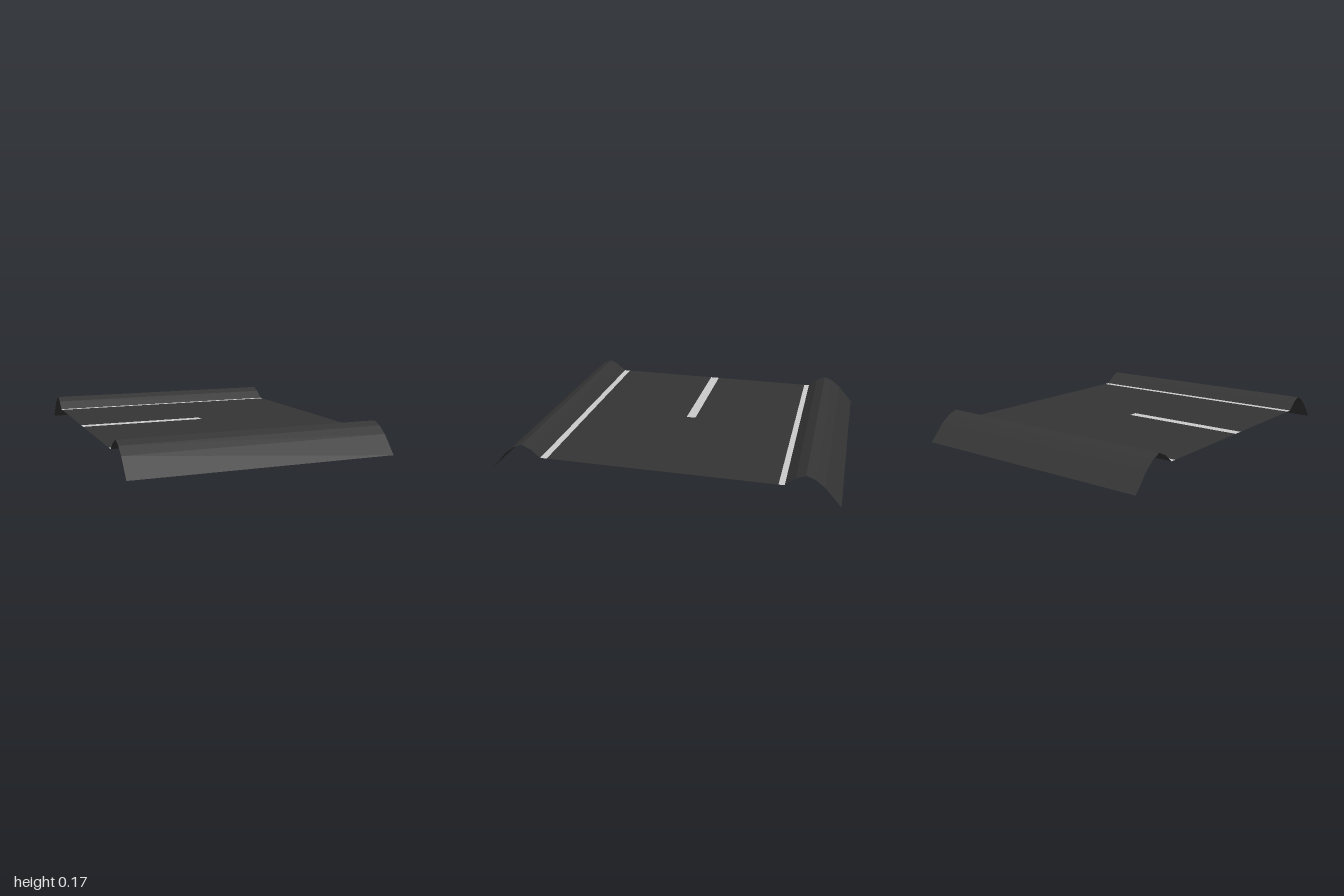
import * as THREE from 'three';

const HALF = 0.77;   // half width along x
const DECK = 0.095;  // height of the flat road

const makeMaterial = (color) =>
  new THREE.MeshStandardMaterial({ color, side: THREE.DoubleSide, flatShading: true });

// Thin sheet: a [z, y] profile, ordered by rising z, swept from x0 to x1.
function sheet(name, profile, material, x0 = -HALF, x1 = HALF) {
  const positions = [];
  const index = [];
  profile.forEach(([z, y], i) => {
    positions.push(x0, y, z, x1, y, z);
    if (i > 0) {
      const a = 2 * (i - 1);
      index.push(a, a + 2, a + 3, a, a + 3, a + 1);
    }
  });
  const geometry = new THREE.BufferGeometry();
  geometry.setAttribute('position', new THREE.Float32BufferAttribute(positions, 3));
  geometry.setIndex(index);
  geometry.computeVertexNormals();
  const mesh = new THREE.Mesh(geometry, material);
  mesh.name = name;
  return mesh;
}

export function createModel() {
  const model = new THREE.Group();
  model.name = 'roadSection';
  const asphalt = makeMaterial(0x353535);
  const paint = makeMaterial(0xcccccc);
  const flat = (name, z0, z1, material, x0, x1) =>
    model.add(sheet(name, [[z0, DECK], [z1, DECK]], material, x0, x1));

  // Raised kerb banks, from the road up over a crest and down to the ground
  const bank = [[0.697, DECK], [0.752, 0.142], [0.806, 0.166], [0.858, 0.145], [0.91, 0.104], [1, 0]];
  model.add(sheet('frontBank', bank, asphalt));
  model.add(sheet('backBank', bank.map(([z, y]) => [-z, y]).reverse(), asphalt));

  // Edge lines, set into the road
  flat('frontEdgeLine', 0.657, 0.697, paint);
  flat('backEdgeLine', -0.697, -0.664, paint);

  // Road surface around the centre dash
  flat('backLane', -0.664, -0.034, asphalt);
  flat('frontLane', 0.024, 0.657, asphalt);
  flat('centreGap', -0.034, 0.024, asphalt, 0, HALF);

  // Centre dash, covering half of the length
  flat('centreDash', -0.034, 0.024, paint, -HALF, 0);

  return model;
}
